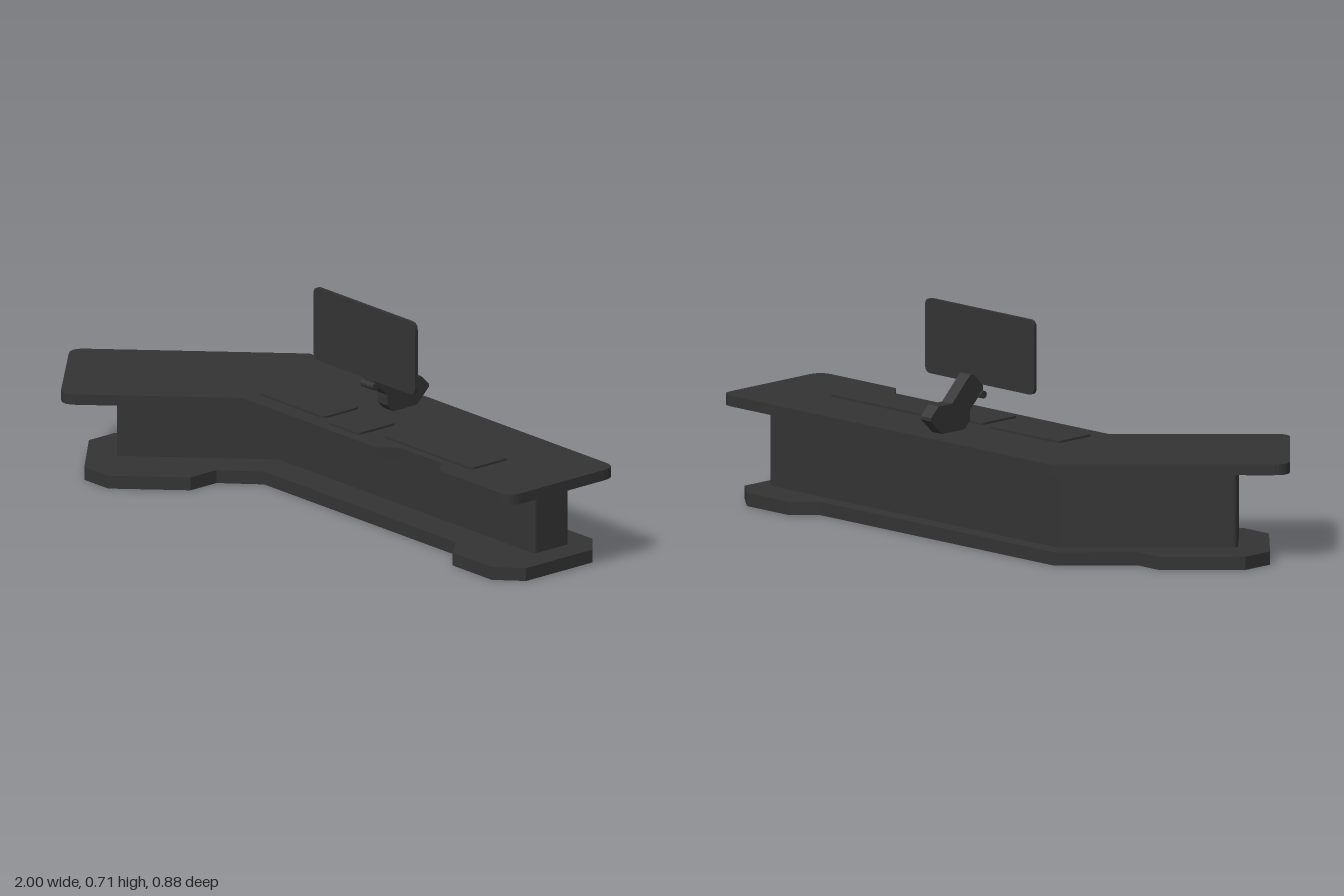
import * as THREE from 'three';

const material = new THREE.MeshStandardMaterial({ color: 0x333333 });

// Closed outline from [x, y, cornerCut] points; a cut above zero rounds that corner
function outline(points) {
  const shape = new THREE.Shape();
  const n = points.length;
  points.forEach(([x, y, cut = 0], i) => {
    const corner = new THREE.Vector2(x, y);
    const towards = ([px, py]) =>
      new THREE.Vector2(px, py).sub(corner).setLength(cut).add(corner);
    const a = cut ? towards(points[(i + n - 1) % n]) : corner;
    const b = cut ? towards(points[(i + 1) % n]) : corner;
    if (i === 0) shape.moveTo(a.x, a.y);
    else shape.lineTo(a.x, a.y);
    if (cut) shape.quadraticCurveTo(x, y, b.x, b.y);
  });
  shape.closePath();
  return shape;
}

const rectangle = (x0, x1, y0, y1, cut) =>
  outline([[x0, y0, cut], [x1, y0, cut], [x1, y1, cut], [x0, y1, cut]]);

const extrude = (shape, depth) =>
  new THREE.ExtrudeGeometry(shape, { depth, bevelEnabled: false, curveSegments: 6 });

function add(group, name, geometry) {
  const mesh = new THREE.Mesh(geometry, material);
  mesh.name = name;
  group.add(mesh);
}

// Horizontal slab: the shape lies in plan (x, z) between two heights
const slab = (shape, y0, y1) =>
  extrude(shape, y1 - y0).rotateX(Math.PI / 2).translate(0, y1, 0);

export function createModel() {
  const desk = new THREE.Group();
  desk.name = 'controlDesk';

  // Base plate with a chamfered foot at each end
  add(desk, 'basePlate', slab(outline([
    [-0.47, -0.37], [0.58, -0.37], [0.65, -0.44], [0.84, -0.44],
    [0.92, -0.37], [0.92, -0.09], [0.84, -0.015], [0.65, -0.015],
    [0.58, -0.09], [-0.345, -0.09], [-0.455, 0.015], [-0.455, 0.125],
    [-0.64, 0.31], [-0.755, 0.31], [-0.945, 0.125], [-0.945, 0.015],
    [-0.755, -0.18], [-0.655, -0.18],
  ]), 0, 0.043));

  // Angled cabinet standing just above the base
  add(desk, 'cabinet', slab(outline([
    [-0.45, -0.335], [0.845, -0.335, 0.012], [0.845, -0.19, 0.012],
    [-0.39, -0.19], [-0.755, 0.175, 0.015], [-0.855, 0.07, 0.015],
  ]), 0.05, 0.3));

  // Worktop with a shallow notch in the front edge
  add(desk, 'worktop', slab(outline([
    [-0.48, -0.4], [1, -0.4, 0.05], [1, 0.05, 0.05], [0.66, 0.05],
    [0.61, -0.005], [0.41, -0.005], [0.36, 0.05], [-0.29, 0.05],
    [-0.70, 0.46, 0.05], [-1.02, 0.14, 0.05],
  ]), 0.3, 0.335));

  // Thin panels set on the worktop
  [
    ['leftHandPanel', -0.28, 0.035, -0.16, -0.01],
    ['centrePanel', 0.08, 0.23, -0.145, 0.015],
    ['rightHandPanel', 0.3, 0.725, -0.185, -0.03],
  ].forEach(([name, x0, x1, z0, z1]) =>
    add(desk, name, slab(rectangle(x0, x1, z0, z1, 0.015), 0.333, 0.342)));

  // Screen on a bent arm
  const monitor = new THREE.Group();
  monitor.name = 'monitor';
  desk.add(monitor);
  add(monitor, 'screen',
    extrude(rectangle(-0.145, 0.345, 0.465, 0.708, 0.025), 0.012).translate(0, 0, -0.135));

  // Arm side profile in (z, y), extruded across x
  const arm = outline([
    [-0.2, 0.36], [-0.225, 0.335], [-0.325, 0.335], [-0.375, 0.383],
    [-0.375, 0.394], [-0.342, 0.427], [-0.28, 0.427], [-0.2, 0.508],
    [-0.185, 0.508], [-0.143, 0.465], [-0.143, 0.45], [-0.2, 0.395],
  ]);
  add(monitor, 'arm', extrude(arm, 0.046).rotateY(-Math.PI / 2).translate(0.123, 0, 0));

  // Pivot across the arm's upper end
  add(monitor, 'pivot',
    new THREE.CylinderGeometry(0.013, 0.013, 0.06, 8).toNonIndexed()
      .rotateZ(Math.PI / 2).translate(0.1, 0.436, -0.145));

  return desk;
}
